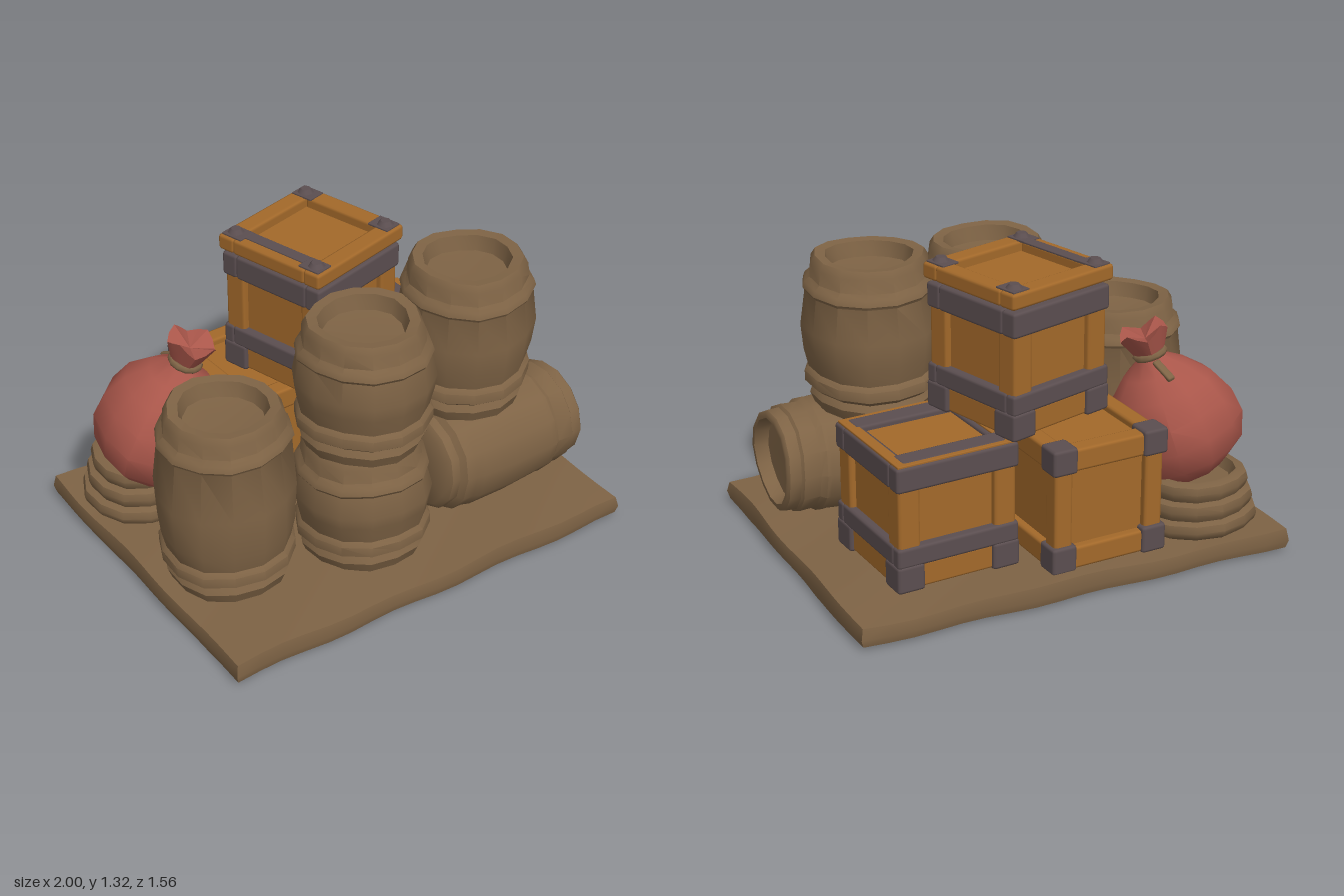
import * as THREE from 'three';
import { toCreasedNormals } from 'three/addons/utils/BufferGeometryUtils.js';
import { RoundedBoxGeometry } from 'three/addons/geometries/RoundedBoxGeometry.js';

const material = (name, color, side = THREE.FrontSide) => {
  const m = new THREE.MeshStandardMaterial({ color, side });
  m.name = name;
  return m;
};
const brown = material('weathered wood', 0x7e6345);
const orange = material('crate wood', 0xa3692a);
const metal = material('dark iron', 0x5b4e50);
const red = material('red cloth', 0xa9564a, THREE.DoubleSide);

function add(parent, name, geometry, mat, x = 0, y = 0, z = 0) {
  const mesh = new THREE.Mesh(geometry, mat);
  mesh.name = name;
  mesh.position.set(x, y, z);
  parent.add(mesh);
  return mesh;
}

// Move every vertex of a geometry by a rule
function warp(geometry, rule) {
  const p = geometry.attributes.position;
  const v = new THREE.Vector3();
  for (let i = 0; i < p.count; i++) {
    v.fromBufferAttribute(p, i);
    rule(v);
    p.setXYZ(i, v.x, v.y, v.z);
  }
  return geometry;
}

// Lathed body with hand-carved unevenness
function turned(profile, seed, wobble = 0.009, sides = 14) {
  const g = new THREE.LatheGeometry(profile.map(([r, y]) => new THREE.Vector2(r, y)), sides);
  warp(g, (v) => {
    const a = Math.atan2(v.x, v.z), r = Math.hypot(v.x, v.z);
    if (r < 0.01) return;
    const k = 1 + wobble / 0.28 * Math.sin(3 * a + seed + v.y * 5) * Math.cos(2 * a - seed * 2);
    v.x *= k;
    v.z *= k;
    v.y += 0.008 * Math.sin(2 * a + seed) * (r / 0.28);
  });
  return toCreasedNormals(g, 0.75);
}

function barrelGeometry(h, seed) {
  return turned([
    [0, 0], [0.25, 0], [0.27, 0.05], [0.255, 0.08], [0.288, 0.105], [0.288, 0.15], [0.27, 0.17],
    [0.288, 0.25], [0.298, h / 2 + 0.03], [0.276, h - 0.15], [0.286, h - 0.135], [0.278, h - 0.11],
    [0.256, h - 0.09], [0.25, h - 0.03], [0.232, h], [0.188, h - 0.005], [0.17, h - 0.07], [0, h - 0.085],
  ], seed);
}

// Rounded bar placed by its centre
function bar(parent, name, mat, [w, h, d], [x, y, z]) {
  const radius = Math.min(0.014, Math.min(w, h, d) * 0.3);
  return add(parent, name, new RoundedBoxGeometry(w, h, d, 1, radius), mat, x, y, z);
}

// Rectangular ring of four bars, outer size s by depth
function ring(parent, name, mat, s, depth, t, h, y) {
  for (const k of [-1, 1]) {
    bar(parent, name, mat, [s, h, t], [0, y, k * (depth - t) / 2]);
    bar(parent, name, mat, [t, h, depth - 2 * t + 0.01], [k * (s - t) / 2, y, 0]);
  }
}

function corners(s, d, place) {
  for (const i of [-1, 1]) for (const j of [-1, 1]) place(i * s / 2, j * d / 2, i, j);
}

// Crate with iron bands, inset panels and iron feet
function bandedCrate(name, s) {
  const g = new THREE.Group();
  g.name = name;
  const inner = s - 0.075;
  bar(g, 'cratePanels', orange, [inner, 0.5, inner], [0, 0.265, 0]);
  ring(g, 'lowerBand', metal, s, s, 0.055, 0.09, 0.155);
  ring(g, 'upperBand', metal, s, s, 0.08, 0.11, 0.5);
  ring(g, 'footBoards', orange, s - 0.03, s - 0.03, 0.04, 0.11, 0.06);
  corners(s - 0.12, s - 0.12, (x, z) => bar(g, 'ironFoot', metal, [0.125, 0.12, 0.125], [x, 0.06, z]));
  corners(s - 0.12, s - 0.12, (x, z) => bar(g, 'cornerPost', orange, [0.1, 0.28, 0.1], [x, 0.32, z]));
  return g;
}

export function createModel() {
  const model = new THREE.Group();
  model.name = 'cargoPile';

  // Rough plank platform with uneven edges and ridged underside
  const slab = new THREE.BoxGeometry(1.97, 0.1, 1.52, 18, 2, 28);
  warp(slab, (v) => {
    const edgeX = Math.abs(v.x) > 0.98, edgeZ = Math.abs(v.z) > 0.755;
    const mid = Math.abs(v.y) < 0.01;
    const top = v.y > 0.04, bottom = v.y < -0.04;
    if (top) v.y += 0.006 * Math.sin(v.x * 5 + v.z * 7);
    if (bottom) v.y += 0.018 * Math.abs(Math.sin(v.z * 4.1 + 1));
    if (edgeX) v.x += Math.sign(v.x) * (0.006 * Math.sin(v.z * 9) + (mid ? 0.008 : -0.002));
    if (edgeZ) v.z += Math.sign(v.z) * (0.009 * Math.sin(v.x * 11 + v.z) + (mid ? 0.01 : 0));
  });
  add(model, 'platform', toCreasedNormals(slab, 0.7), brown, 0, 0.052, 0);

  // Standing barrels
  [[-0.67, 0.1, 0.19, 0.81], [-0.1, 0.1, 0.35, 0.55], [-0.1, 0.64, 0.35, 0.57], [0.485, 0.6, 0.262, 0.66]]
    .forEach(([x, y, z, h], i) => add(model, 'barrel', barrelGeometry(h, i * 1.7 + 0.4), brown, x, y, z));

  // Barrel lying on its side, end facing +x
  const lying = add(model, 'lyingBarrel', turned([
    [0, 0], [0.2, 0], [0.225, 0.02], [0.225, 0.06], [0.25, 0.08], [0.25, 0.13], [0.26, 0.17], [0.262, 0.35],
    [0.25, 0.54], [0.252, 0.56], [0.235, 0.585], [0.238, 0.66], [0.225, 0.67], [0.222, 0.72], [0.21, 0.73],
    [0.19, 0.73], [0.175, 0.67], [0, 0.66],
  ], 2.2, 0.006), brown, 0.21, 0.365, 0.325);
  lying.rotation.z = -Math.PI / 2;

  // Low coiled tub under the sack, narrowing upwards
  const tub = [[0, 0], [0.25, 0]];
  for (let i = 0; i < 3; i++) {
    const y = i * 0.08, r = 0.268 - i * 0.022;
    tub.push([r, y + 0.015], [r + 0.008, y + 0.04], [r, y + 0.07], [r - 0.03, y + 0.08]);
  }
  tub.push([0.18, 0.24], [0.16, 0.19], [0, 0.19]);
  add(model, 'coiledTub', turned(tub, 1.1), brown, -0.69, 0.1, -0.46);

  // Tied sack leaning towards +x
  const sack = new THREE.Group();
  sack.name = 'sack';
  sack.position.set(-0.71, 0.29, -0.395);
  sack.rotation.set(0.19, 0, -0.27);
  add(sack, 'sackBody', turned([
    [0, 0], [0.17, 0.01], [0.25, 0.08], [0.282, 0.19], [0.27, 0.3], [0.22, 0.41], [0.14, 0.49], [0.068, 0.54], [0.055, 0.57],
  ], 0.8, 0.02, 12), red);
  const frill = new THREE.LatheGeometry([[0.055, 0.555], [0.08, 0.61], [0.105, 0.665], [0, 0.63]]
    .map(([r, y]) => new THREE.Vector2(r, y)), 16);
  warp(frill, (v) => {
    const r = Math.hypot(v.x, v.z), a = Math.atan2(v.x, v.z);
    v.y += r * 0.2 * Math.sin(4 * a);
  });
  add(sack, 'sackFrill', toCreasedNormals(frill, 0.6), red);
  const cord = add(sack, 'sackCord', new THREE.TorusGeometry(0.062, 0.016, 6, 12), brown, 0, 0.56, 0);
  cord.rotation.x = Math.PI / 2;
  bar(sack, 'cordEnd', brown, [0.035, 0.025, 0.12], [0.02, 0.505, -0.115]).rotation.x = -0.6;
  model.add(sack);

  // Right crate: wooden rim on top with iron strips set inside it
  const right = bandedCrate('rightCrate', 0.56);
  right.position.set(0.48, 0.1, -0.275);
  right.rotation.y = 0.06;
  ring(right, 'topRim', orange, 0.54, 0.54, 0.05, 0.012, 0.556);
  for (const k of [-1, 1]) bar(right, 'topStrip', metal, [0.48, 0.05, 0.1], [0, 0.54, k * 0.205]);
  bar(right, 'topPanel', orange, [0.5, 0.03, 0.34], [0, 0.525, 0]);
  model.add(right);

  // Back crate: wooden frame with iron corner caps
  const back = new THREE.Group();
  back.name = 'backCrate';
  back.position.set(-0.145, 0.1, -0.39);
  back.rotation.y = 0.04;
  const w = 0.53, d = 0.6;
  bar(back, 'cratePanels', orange, [w - 0.08, 0.5, d - 0.08], [0, 0.265, 0]);
  ring(back, 'topRail', orange, w - 0.01, d - 0.01, 0.08, 0.1, 0.495);
  ring(back, 'bottomRail', orange, w - 0.01, d - 0.01, 0.06, 0.1, 0.055);
  corners(w - 0.1, d - 0.1, (x, z) => {
    bar(back, 'cornerPost', orange, [0.085, 0.4, 0.085], [x, 0.28, z]);
    bar(back, 'cornerCap', metal, [0.115, 0.115, 0.115], [x, 0.5, z]);
    bar(back, 'cornerFoot', metal, [0.115, 0.12, 0.115], [x, 0.06, z]);
  });
  model.add(back);

  // Upper crate with a loose framed lid
  const upper = bandedCrate('upperCrate', 0.535);
  upper.position.set(0.035, 0.66, -0.225);
  upper.rotation.y = 0.28;
  ring(upper, 'lidFrame', orange, 0.56, 0.55, 0.085, 0.07, 0.605);
  bar(upper, 'lidPanel', orange, [0.42, 0.025, 0.42], [0, 0.583, 0]);
  bar(upper, 'lidStrap', metal, [0.055, 0.008, 0.42], [-0.21, 0.641, 0]);
  corners(0.45, 0.44, (x, z, i, j) => {
    bar(upper, 'lidCorner', metal, [0.085, 0.009, 0.105], [x, 0.642, z - j * 0.01]);
    add(upper, 'lidStud', new THREE.CylinderGeometry(0.022, 0.038, 0.02, 8), metal, x, 0.654, z);
  });
  model.add(upper);

  return model;
}
